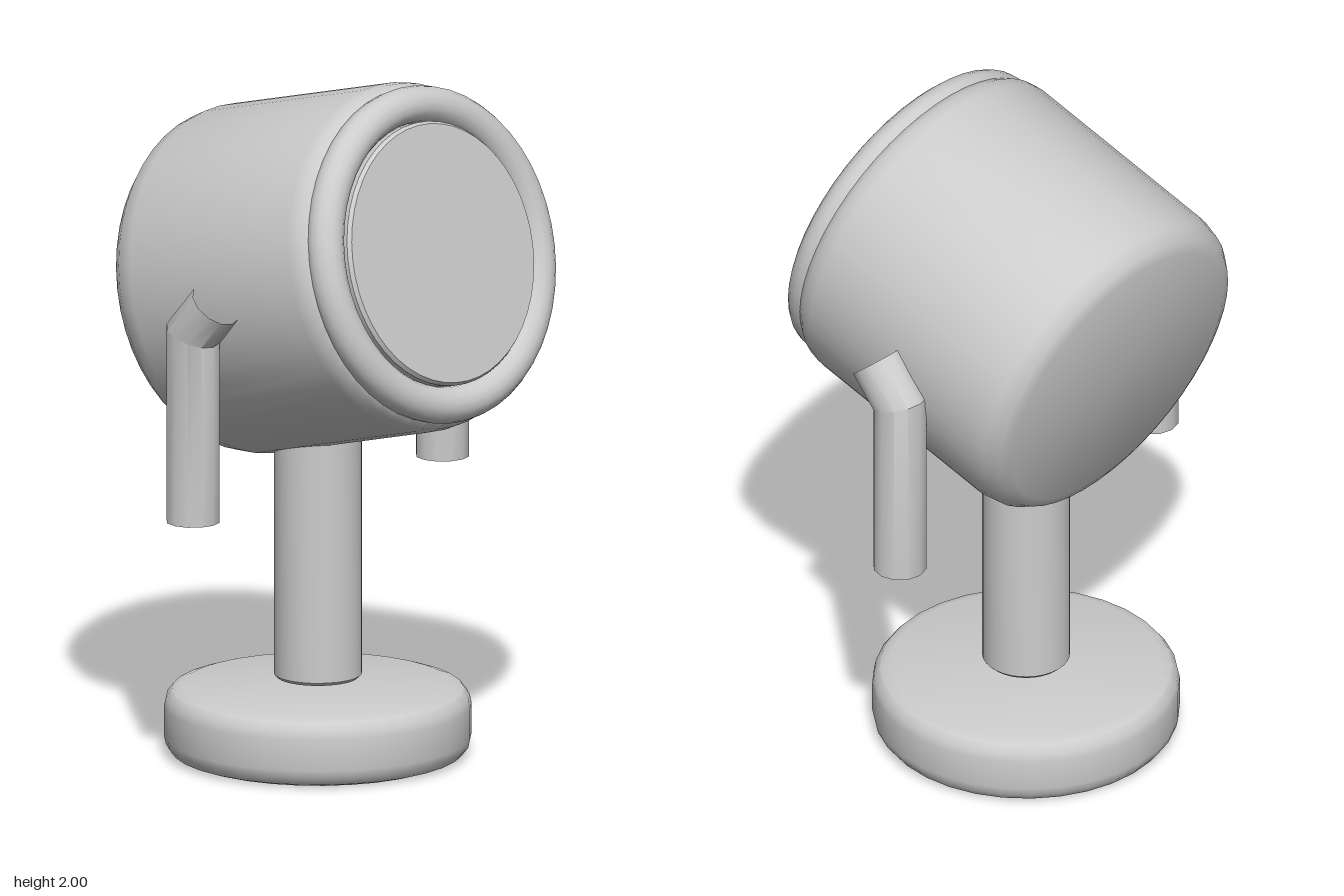
import * as THREE from 'three';
import { toCreasedNormals } from 'three/addons/utils/BufferGeometryUtils.js';

const metal = new THREE.MeshStandardMaterial({ color: 0xcccccc });
metal.name = 'grey';

const AXIS_Z = -0.07; // the stand and arms share this depth

function add(parent, name, geometry) {
  const mesh = new THREE.Mesh(geometry, metal);
  mesh.name = name;
  parent.add(mesh);
  return mesh;
}

// Solid of revolution from [radius, height] pairs, bottom to top
function turned(profile, sides) {
  const points = profile.map(([r, y]) => new THREE.Vector2(r, y));
  return toCreasedNormals(new THREE.LatheGeometry(points, sides), 0.6);
}

// Open pipe that rises straight, then bends towards the front
function bentPipe(radius, bottom, elbow, end, bend) {
  const geo = new THREE.CylinderGeometry(radius, radius, 2, 12, 2, true);
  const p = geo.attributes.position;
  for (let i = 0; i < p.count; i++) {
    const row = Math.round(p.getY(i));
    const z = p.getZ(i);
    if (row < 0) p.setY(i, bottom);
    else if (row === 0) p.setY(i, elbow - z * Math.tan(bend / 2)); // mitred joint
    else {
      p.setY(i, end.y - z * Math.sin(bend));
      p.setZ(i, end.z + z * Math.cos(bend));
    }
  }
  return toCreasedNormals(geo, 0.6);
}

export function createModel() {
  const model = new THREE.Group();
  model.name = 'spotLamp';

  // Round foot with softened rims
  add(model, 'base', turned([
    [0, 0], [0.385, 0], [0.415, 0.01], [0.432, 0.032], [0.437, 0.055],
    [0.437, 0.145], [0.432, 0.168], [0.415, 0.19], [0.385, 0.2], [0, 0.2],
  ], 32)).position.z = AXIS_Z;

  // Post, floating slightly above the foot
  add(model, 'post', turned([
    [0, 0.225], [0.115, 0.225], [0.125, 0.235], [0.125, 1.1], [0, 1.1],
  ], 32)).position.z = AXIS_Z;

  // Side arms
  for (const [side, name] of [[1, 'leftArm'], [-1, 'rightArm']]) {
    const arm = add(model, name, bentPipe(0.077, 0.775, 1.325, { y: 1.427, z: 0.09 }, 0.7));
    arm.position.set(side * 0.526, 0, AXIS_Z);
  }

  // Head, tilted upwards; its axis runs along local z
  const head = new THREE.Group();
  head.name = 'head';
  const tilt = Math.PI / 12;
  head.rotation.x = -tilt;
  head.position.set(0, 1.385 * Math.cos(tilt), -1.385 * Math.sin(tilt));
  model.add(head);

  add(head, 'housing', turned([
    [0, -0.068], [0.425, -0.068], [0.46, -0.053], [0.488, -0.015], [0.5, 0.04],
    [0.5, 0.67], [0.494, 0.705], [0.478, 0.73], [0.45, 0.742], [0, 0.742],
  ], 48)).rotation.x = Math.PI / 2;

  add(head, 'rim', new THREE.TorusGeometry(0.43, 0.053, 16, 48)).position.z = 0.75;

  add(head, 'lens', turned([
    [0.378, 0.74], [0.378, 0.785], [0.37, 0.796], [0, 0.796],
  ], 48)).rotation.x = Math.PI / 2;

  return model;
}
